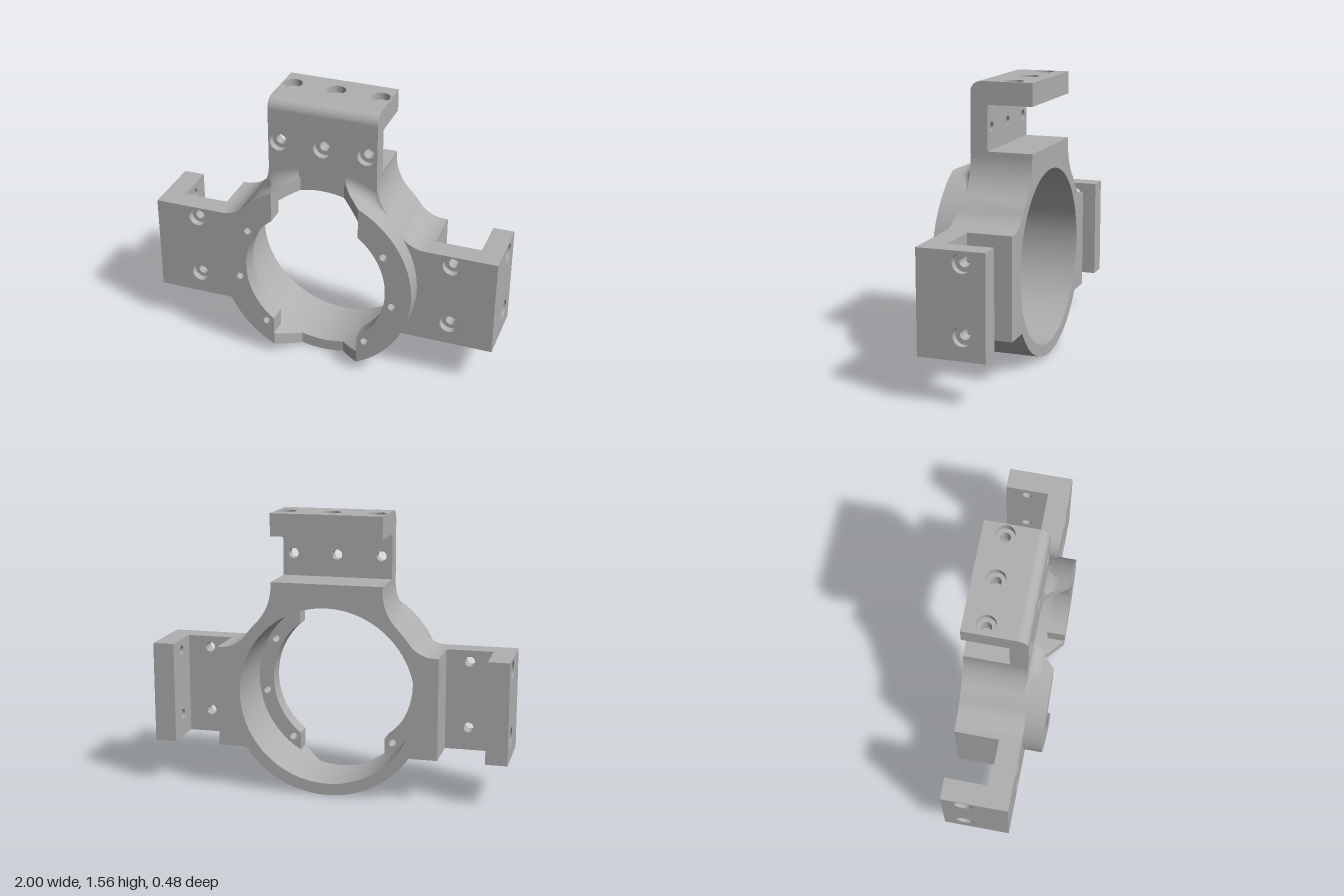
import * as THREE from 'three';
import { toCreasedNormals } from 'three/addons/utils/BufferGeometryUtils.js';

const R = 0.56, BORE = 0.495, LIP = 0.41;      // ring radii
const BACK = -0.238, FACE = 0.11, WING = 0.133, FRONT = 0.238; // z levels
const CY = 0.565;                              // height of the ring axis
const PI = Math.PI;

export function createModel() {
  const grey = new THREE.MeshStandardMaterial({ color: 0xb0b0b0 });
  grey.name = 'grey';
  const model = new THREE.Group();
  model.name = 'ringBracket';
  const core = new THREE.Group();
  core.name = 'bracket';
  core.position.y = CY;
  model.add(core);

  const mesh = (geo, name, parent) => {
    const m = new THREE.Mesh(toCreasedNormals(geo, 0.5), grey);
    m.name = name;
    parent.add(m);
    return m;
  };
  const extrude = (shape, z0, z1) =>
    new THREE.ExtrudeGeometry(shape, { depth: z1 - z0, bevelEnabled: false, curveSegments: 40 }).translate(0, 0, z0);
  const hole = (x, y, r) => new THREE.Path().absarc(x, y, r, 0, PI * 2, true);

  // Rectangular plate from z = 0 to t, with holes counterbored from the +z side
  const drilledPlate = (x0, y0, x1, y1, t, holes, name, parent) => {
    const g = new THREE.Group();
    g.name = name;
    parent.add(g);
    for (const [r, za, zb] of [[0.028, 0, t - 0.04], [0.052, t - 0.04, t]]) {
      const s = new THREE.Shape([[x0, y0], [x1, y0], [x1, y1], [x0, y1]].map(p => new THREE.Vector2(...p)));
      s.holes = holes.map(([x, y]) => hole(x, y, r));
      mesh(extrude(s, za, zb), name + 'Layer', g);
    }
    return g;
  };

  // Half outline: wing block, then the fillet rising to the ring
  const wingAngle = Math.asin(0.315 / R);
  const f1 = { x: 0.6, y: 0.4256, r: 0.1756 }, a1 = Math.atan2(f1.y, f1.x);
  const f2 = { x: 0.607, y: 0.605, r: 0.297 }, a2 = Math.atan2(f2.y, f2.x);
  const wingOutline = shape => {
    shape.moveTo(R * Math.cos(wingAngle), -0.315);
    shape.lineTo(0.62, -0.315);
    shape.lineTo(0.62, 0.25);
    shape.lineTo(0.6, 0.25);
    shape.absarc(f1.x, f1.y, f1.r, -PI / 2, a1 - PI, true);
    return shape;
  };

  // Main body: ring with wing blocks, neck and bore
  const half = wingOutline(new THREE.Path());
  half.absarc(0, 0, R, a1, a2, false);
  half.absarc(f2.x, f2.y, f2.r, a2 + PI, PI, true);
  half.lineTo(0.31, 0.625);
  const pts = half.getPoints(20);
  const mirrored = pts.map(p => new THREE.Vector2(-p.x, p.y)).reverse();
  const body = new THREE.Shape([...pts, ...mirrored]);
  body.absarc(0, 0, R, PI + wingAngle, 2 * PI - wingAngle, false);
  body.holes.push(hole(0, 0, BORE));
  mesh(extrude(body, BACK, FACE), 'body', core);

  // Ring sector bounded by a vertical cut at x
  const sector = (rIn, x) => {
    const a = Math.acos(x / R), b = Math.acos(x / rIn);
    const s = new THREE.Shape();
    s.absarc(0, 0, R, -a, a, false);
    s.absarc(0, 0, rIn, b, -b, true);
    return s;
  };
  const slope = x => THREE.MathUtils.clamp(FACE + (x - 0.125) * (FRONT - FACE) / 0.125, FACE, FRONT);

  // Concave blend between the neck face and the ring
  const blendGeometry = () => {
    const N = 32, M = 8, pos = [], idx = [];
    const p0 = Math.asin(0.125 / R);
    const pEnd = PI / 2 - a2, d = Math.hypot(f2.x, f2.y);
    for (let i = 0; i <= N; i++) {
      const p = p0 + (pEnd - p0) * i / N, q = pEnd - p;
      const gap = d * Math.cos(q) - Math.sqrt(Math.max(0, f2.r ** 2 - (d * Math.sin(q)) ** 2)) - R;
      const rho = p < 0.47 ? 0.065 : Math.max(0, Math.min(0.065, gap));
      for (let j = 0; j <= M; j++) {
        const t = j / M * PI / 2;
        const r = R + rho * (1 - Math.cos(t)), x = r * Math.sin(p);
        pos.push(x, r * Math.cos(p), Math.min(FACE + rho * (1 - Math.sin(t)), slope(x)));
        if (i < N && j < M) {
          const k = i * (M + 1) + j;
          idx.push(k, k + M + 1, k + 1, k + 1, k + M + 1, k + M + 2);
        }
      }
    }
    const g = new THREE.BufferGeometry();
    g.setAttribute('position', new THREE.Float32BufferAttribute(pos, 3));
    g.setIndex(idx);
    return g;
  };

  for (const side of [1, -1]) {
    const g = new THREE.Group();
    g.name = side > 0 ? 'leftSide' : 'rightSide';
    g.scale.x = side;
    core.add(g);

    // Front rim and the inward lip with its small screw holes
    mesh(extrude(sector(BORE, 0.25), FACE, WING), 'rim', g);
    const lip = sector(LIP, 0.25);
    lip.holes = [[0.395, 0.23], [0.45, -0.078], [0.295, -0.348]].map(([x, y]) => hole(x, y, 0.021));
    mesh(extrude(lip, WING, FRONT), 'lip', g);

    // Sloped ends of the rim, above and below
    for (const v of [1, -1]) {
      const s = new THREE.Path();
      s.absarc(0, 0, R, Math.acos(0.25 / R), Math.acos(0.125 / R), false);
      s.absarc(0, 0, BORE, Math.acos(0.125 / BORE), Math.acos(0.25 / BORE), true);
      const geo = extrude(new THREE.Shape(s.getPoints(10).map(p => new THREE.Vector2(p.x, p.y * v))), FACE, FRONT);
      const pos = geo.attributes.position;
      for (let i = 0; i < pos.count; i++)
        if (pos.getZ(i) > FACE + 0.01) pos.setZ(i, slope(pos.getX(i)));
      mesh(geo, 'rimSlope', g);
    }

    // Blend at the neck
    const blend = mesh(blendGeometry(), 'neckBlend', g);
    blend.material = doubleGrey(grey);

    // Wing: front layer, drilled plate and returning arm
    const layer = wingOutline(new THREE.Shape());
    layer.absarc(0, 0, R, a1, -wingAngle, true);
    mesh(extrude(layer, FACE, WING), 'wingFront', g);
    drilledPlate(0.62, -0.315, 1, 0.25, WING - 0.01,
      [[0.75, -0.187], [0.75, 0.187]], 'wingPlate', g).position.z = 0.01;
    const arm = drilledPlate(-0.01, -0.315, -BACK, 0.25, 0.12,
      [[0.113, -0.187], [0.113, 0.187]], 'wingArm', g);
    arm.rotation.y = PI / 2;
    arm.position.x = 0.88;
  }

  // Upper bracket: upright, rounded corner and flange
  const xs = [-0.25, 0, 0.25];
  drilledPlate(-0.31, 0.625, 0.31, 0.875, FACE - 0.013, xs.map(x => [x, 0.75]), 'upright', core).position.z = 0.013;
  const flange = drilledPlate(-0.31, -0.05, 0.31, -BACK, 0.125, xs.map(x => [x, 0.115]), 'flange', core);
  flange.rotation.x = -PI / 2;
  flange.position.y = 0.875;
  const corner = new THREE.Shape();
  corner.moveTo(-0.05, 0.875);
  corner.lineTo(-0.05, 1);
  corner.absarc(-0.05, 0.94, 0.06, PI / 2, PI, false);
  corner.lineTo(-FACE, 0.875);
  mesh(extrude(corner, -0.31, 0.31), 'corner', core).rotation.y = PI / 2;

  return model;
}

// Same grey for the open blend surface
let shared;
function doubleGrey(base) {
  if (!shared) {
    shared = base.clone();
    shared.side = THREE.DoubleSide;
    shared.name = 'greyDoubleSided';
  }
  return shared;
}
